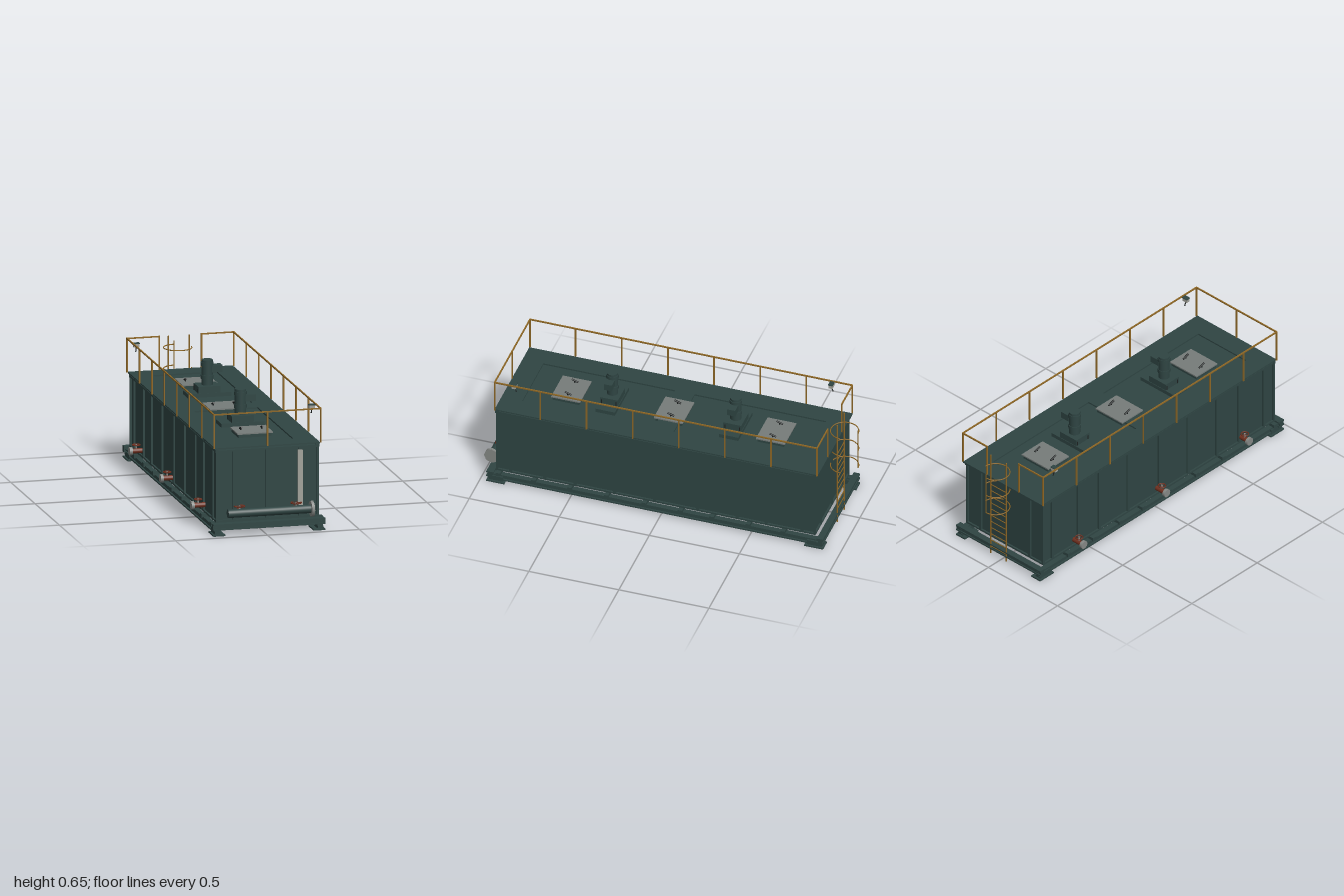
import * as THREE from 'three';

const mat = (name, color) => {
  const m = new THREE.MeshStandardMaterial({ color });
  m.name = name;
  return m;
};

export function createModel() {
  const green = mat('dark green paint', 0x2f4543);
  const yellow = mat('ochre rail paint', 0x8f6826);
  const hatchGrey = mat('hatch grey', 0x767c7a);
  const paleGrey = mat('pale grey', 0xa3a39b);
  const steel = mat('flange steel', 0x858885);
  const red = mat('valve red', 0x70301f);
  const black = mat('black fittings', 0x1d2121);

  const model = new THREE.Group();
  model.name = 'processTank';
  const CX = 0.02; // tank centre line
  const ZF = 0.92, ZB = -0.855; // tank ends

  const add = (name, geo, m, parent = model) => {
    const mesh = new THREE.Mesh(geo, m);
    mesh.name = name;
    parent.add(mesh);
    return mesh;
  };
  // box from its two extreme corners
  const box = (name, m, x0, x1, y0, y1, z0, z1, parent) => {
    const b = add(name, new THREE.BoxGeometry(x1 - x0, y1 - y0, z1 - z0), m, parent);
    b.position.set((x0 + x1) / 2, (y0 + y1) / 2, (z0 + z1) / 2);
    return b;
  };
  // round bar between two points
  const bar = (name, m, a, b, r, sides = 8, parent) => {
    const p = new THREE.Vector3(...a), q = new THREE.Vector3(...b);
    const c = add(name, new THREE.CylinderGeometry(r, r, p.distanceTo(q), sides), m, parent);
    c.position.copy(p).add(q).multiplyScalar(0.5);
    c.quaternion.setFromUnitVectors(new THREE.Vector3(0, 1, 0), q.sub(p).normalize());
    return c;
  };

  // Skid: side rails, end beams, feet and cross beams
  for (const s of [-1, 1]) {
    const x = CX + s * 0.28;
    box('skidRailWeb', green, x - 0.006, x + 0.006, 0.015, 0.05, -0.9, 0.96);
    box('skidRailFlange', green, x - 0.015, x + 0.015, 0.042, 0.05, -0.9, 0.96);
    box('skidRailFlange', green, x - 0.015, x + 0.015, 0.015, 0.023, -0.9, 0.96);
    for (const [z0, z1] of [[-0.905, -0.8], [0.865, 0.965]]) {
      const fx = CX + s * 0.2725;
      box('footPlate', green, fx - 0.0325, fx + 0.0325, 0, 0.008, z0, z1);
      box('footBlock', green, x - 0.015, x + 0.015, 0.008, 0.035, z0 + 0.012, z1 - 0.012);
    }
  }
  for (const [z0, z1] of [[-0.905, -0.87], [0.925, 0.965]]) {
    box('endBeamWeb', green, -0.285, 0.325, 0.032, 0.065, z0 + 0.006, z1 - 0.006);
    box('endBeamTop', green, -0.285, 0.325, 0.057, 0.065, z0, z1);
    box('endBeamBottom', green, -0.285, 0.325, 0.032, 0.04, z0, z1);
  }
  for (const z of [0.9, 0.705, 0.505, 0.3, 0.09, -0.11, -0.285, -0.487, -0.68])
    box('crossBeam', green, -0.285, 0.325, 0.046, 0.066, z - 0.012, z + 0.012);

  // Tank body with flanges, corner posts and stiffening ribs
  box('tankBody', green, -0.25, 0.29, 0.068, 0.453, ZB + 0.01, ZF - 0.01);
  box('tankBottomFlange', green, -0.26, 0.3, 0.066, 0.076, ZB, ZF);
  box('tankTopFlange', green, -0.26, 0.3, 0.443, 0.453, ZB, ZF);
  for (const x of [-0.26, 0.288])
    for (const z of [ZB, ZF - 0.012]) {
      box('cornerPost', green, x, x + 0.012, 0.07, 0.45, z, z + 0.012);
      box('cornerCap', green, x - 0.003, x + 0.015, 0.442, 0.458, z - 0.003, z + 0.015);
    }
  for (const z of [0.84, 0.65, 0.48, 0.26, 0.04, -0.2, -0.42, -0.58, -0.78])
    for (const x of [-0.26, 0.289])
      box('sideRib', green, x, x + 0.011, 0.07, 0.45, z - 0.008, z + 0.008);
  for (const x of [-0.158, 0.02, 0.198])
    for (const z of [ZB, ZF - 0.011])
      box('endRib', green, x - 0.008, x + 0.008, 0.07, 0.45, z, z + 0.011);

  // Deck with two long openings
  const deckShape = new THREE.Shape();
  const rect = (p, x0, x1, y0, y1) =>
    p.moveTo(x0, y0).lineTo(x1, y0).lineTo(x1, y1).lineTo(x0, y1).closePath();
  rect(deckShape, -0.265, 0.305, -0.925, 0.87);
  for (const [a, b] of [[-0.81, -0.08], [0.03, 0.76]]) {
    const hole = new THREE.Path();
    rect(hole, -0.155, 0.19, a, b);
    deckShape.holes.push(hole);
  }
  const deck = add('deck', new THREE.ExtrudeGeometry(deckShape, { depth: 0.008, bevelEnabled: false }), green);
  deck.rotation.x = -Math.PI / 2;
  deck.position.y = 0.46;

  // Access hatches with lift handles
  for (const z of [-0.542, 0.025, 0.595]) {
    box('hatchFrame', green, -0.07, 0.11, 0.45, 0.471, z - 0.074, z + 0.074);
    box('hatchCover', hatchGrey, -0.076, 0.116, 0.471, 0.478, z - 0.08, z + 0.08);
    for (const x of [-0.038, 0.077]) {
      bar('hatchHandle', black, [x, 0.483, z - 0.02], [x, 0.496, z + 0.018], 0.005);
      bar('handlePin', black, [x, 0.474, z], [x, 0.49, z], 0.004);
    }
  }

  // Agitator drives
  for (const z of [-0.318, 0.367]) {
    const g = new THREE.Group();
    g.name = 'agitator';
    g.position.set(CX, 0, z);
    model.add(g);
    box('mountPlate', green, -0.118, 0.118, 0.45, 0.474, -0.053, 0.053, g);
    box('gearbox', green, -0.06, 0.06, 0.474, 0.51, -0.05, 0.05, g);
    for (const x of [-0.057, 0.057])
      for (const bz of [-0.04, 0.04]) bar('mountBolt', black, [x, 0.474, bz], [x, 0.498, bz], 0.005, 6, g);
    bar('motor', green, [0, 0.51, 0], [0, 0.645, 0], 0.03, 24, g);
    for (const [a, b] of [[0.543, 0.563], [0.612, 0.632]])
      bar('motorCollar', green, [0, a, 0], [0, b, 0], 0.0335, 24, g);
    box('terminalBox', green, 0.022, 0.078, 0.578, 0.615, -0.022, 0.022, g);
  }

  // Guard rail, open at the ladder
  const XL = -0.27, XR = 0.31, zs = [0.923, 0.67, 0.413, 0.157, -0.099, -0.355, -0.611, -0.867];
  const post = (x, z) => box('railPost', yellow, x - 0.0035, x + 0.0035, 0.465, 0.65, z - 0.0035, z + 0.0035);
  const topRail = (x0, x1, z0, z1) =>
    box('topRail', yellow, x0 - 0.0035, x1 + 0.0035, 0.645, 0.652, z0 - 0.0035, z1 + 0.0035);
  for (const x of [XL, XR]) {
    zs.forEach(z => post(x, z));
    topRail(x, x, zs[7], zs[0]);
  }
  post(CX, zs[0]);
  post(-0.095, zs[7]);
  post(0.135, zs[7]);
  topRail(XL, XR, zs[0], zs[0]);
  topRail(XL, -0.095, zs[7], zs[7]);
  topRail(0.135, XR, zs[7], zs[7]);

  // Ladder with safety hoops
  const LZ = -0.9;
  for (const x of [-0.036, 0.076]) bar('ladderStile', yellow, [x, 0.005, LZ], [x, 0.641, LZ], 0.004);
  for (let y = 0.05; y < 0.47; y += 0.04) bar('ladderRung', yellow, [-0.036, y, LZ], [0.076, y, LZ], 0.0025, 6);
  for (const y of [0.345, 0.457, 0.57]) {
    const hoop = add('safetyHoop', new THREE.TorusGeometry(0.075, 0.003, 6, 18, Math.PI * 1.5), yellow);
    hoop.rotation.x = Math.PI / 2;
    hoop.position.set(CX, y, -0.922);
  }
  bar('hoopStrap', yellow, [CX, 0.345, -0.997], [CX, 0.59, -0.997], 0.003, 6);

  // Flood lights at two opposite corners
  for (const [x, z] of [[-0.249, -0.757], [0.288, 0.82]]) {
    box('lampHousing', paleGrey, x - 0.016, x + 0.016, 0.626, 0.645, z - 0.011, z + 0.011);
    box('lampBack', green, x - 0.018, x + 0.018, 0.645, 0.649, z - 0.013, z + 0.013);
    bar('lampStem', black, [x, 0.628, z], [x, 0.6, z - 0.01], 0.003, 6);
  }

  // Handwheel with spokes and stem
  const handwheel = (x, y, z, r, y0) => {
    const w = add('handwheel', new THREE.TorusGeometry(r, 0.003, 6, 20), red);
    w.rotation.x = Math.PI / 2;
    w.position.set(x, y, z);
    bar('wheelSpoke', red, [x - r, y, z], [x + r, y, z], 0.002, 6);
    bar('wheelSpoke', red, [x, y, z - r], [x, y, z + r], 0.002, 6);
    bar('valveStem', steel, [x, y0, z], [x, y + 0.003, z], 0.005);
  };

  // Side drain valves
  for (const z of [-0.61, 0.025, 0.66]) {
    bar('drainValve', red, [-0.25, 0.102, z], [-0.312, 0.102, z], 0.0135, 16);
    bar('drainFlange', steel, [-0.311, 0.102, z], [-0.327, 0.102, z], 0.0225, 16);
    handwheel(-0.288, 0.134, z, 0.02, 0.11);
  }

  // Front manifold fed by two valves
  bar('manifoldPipe', green, [-0.205, 0.118, 0.957], [0.246, 0.118, 0.957], 0.0225, 24);
  bar('manifoldFlange', steel, [0.245, 0.118, 0.957], [0.26, 0.118, 0.957], 0.043, 8);
  for (const x of [-0.135, 0.173]) {
    bar('manifoldValve', red, [x, 0.118, 0.905], [x, 0.118, 0.945], 0.016, 16);
    handwheel(x, 0.15, 0.934, 0.028, 0.125);
  }

  // Level gauge on the front wall
  box('levelGauge', paleGrey, 0.186, 0.211, 0.09, 0.432, 0.915, 0.928);

  return model;
}
